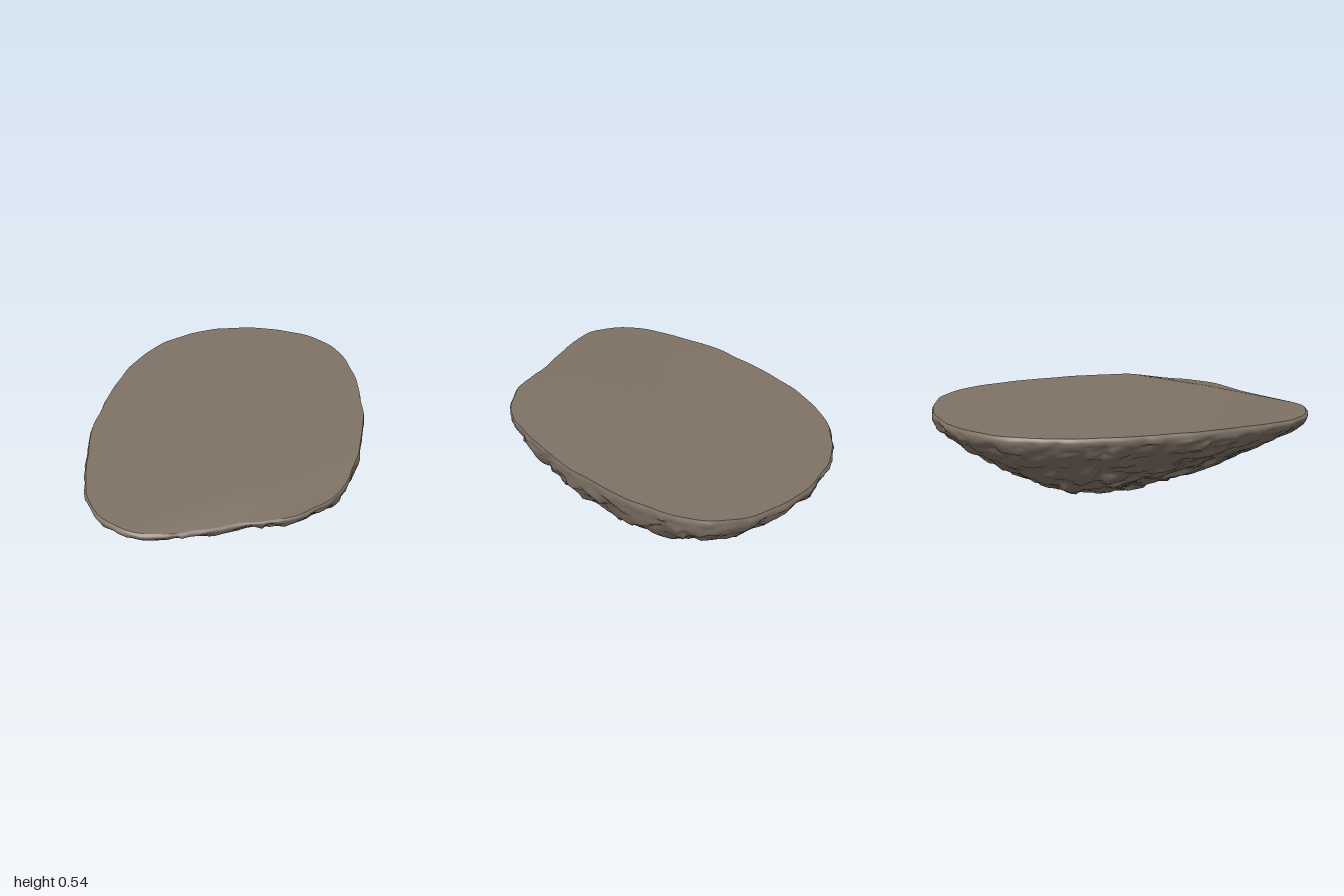
import * as THREE from 'three';

const SEG = 150, RINGS = 50;
const BASE = new THREE.Vector2(0.11, -0.11); // lowest point of the rock in x, z

// Plan outline of the rim as x, z pairs
const OUTLINE = [
  [0.05, -1], [0.3, -0.97], [0.48, -0.89], [0.6, -0.78], [0.68, -0.6], [0.72, -0.42],
  [0.735, -0.2], [0.735, 0], [0.71, 0.2], [0.66, 0.42], [0.6, 0.58], [0.51, 0.71],
  [0.36, 0.82], [0.2, 0.87], [0.05, 0.9], [-0.1, 0.95], [-0.25, 0.99], [-0.4, 0.99],
  [-0.52, 0.94], [-0.62, 0.83], [-0.68, 0.7], [-0.71, 0.5], [-0.74, 0.25], [-0.725, 0],
  [-0.69, -0.25], [-0.64, -0.45], [-0.52, -0.7], [-0.35, -0.87], [-0.2, -0.95], [-0.08, -0.985],
];
// Belly profiles from base to rim: share of the rim radius, height
const SHALLOW = [[0, 0.008], [0.18, 0.02], [0.37, 0.085], [0.55, 0.18], [0.73, 0.285], [0.91, 0.41], [0.985, 0.48], [0.998, 0.515], [0.988, 0.535]];
const STEEP = [[0, 0.008], [0.18, 0.018], [0.37, 0.06], [0.54, 0.12], [0.77, 0.24], [0.9, 0.34], [0.98, 0.45], [0.998, 0.51], [0.99, 0.535]];

function seeded(seed) {
  return () => {
    seed = (seed * 1664525 + 1013904223) >>> 0;
    return seed / 4294967296;
  };
}

const curve = (points, closed = false) =>
  new THREE.CatmullRomCurve3(points.map(([a, b]) => new THREE.Vector3(a, b, 0)), closed);

// The top sinks a little towards the front corner and rolls over along the front edge
const topDip = (x, z) =>
  0.03 * Math.max(0, z - 0.5 * x - 0.6) + 0.03 * THREE.MathUtils.smoothstep(0.5 * x + 0.86 * z, 0.62, 0.84);

// Skins a list of closed rings, each an array of Vector3
function skin(rings) {
  const n = rings[0].length, index = [];
  for (let r = 0; r < rings.length - 1; r++) {
    for (let i = 0; i < n; i++) {
      const a = r * n + i, b = r * n + (i + 1) % n;
      index.push(a, a + n, b, b, a + n, b + n);
    }
  }
  const geometry = new THREE.BufferGeometry().setFromPoints(rings.flat());
  geometry.setIndex(index);
  geometry.computeVertexNormals();
  return geometry;
}

// Breaks the smooth belly into chips: every seed tilts the surface around it its own way
function chip(rings) {
  const random = seeded(7);
  const seeds = [];
  for (let k = 0; k < 560; k++) {
    const ring = rings[Math.floor(Math.sqrt(random()) * rings.length)];
    const tilt = new THREE.Vector3(random() - 0.5, random() - 0.5, random() - 0.5).multiplyScalar(0.7);
    seeds.push({ at: ring[Math.floor(random() * SEG)].clone(), tilt, lift: (random() - 0.5) * 0.01 });
  }
  const core = new THREE.Vector3(0.08, 0.62, -0.05);
  const offset = new THREE.Vector3();
  rings.forEach((ring, r) => {
    const fade = Math.min(1, r / 4, (rings.length - r) / 10);
    for (const p of ring) {
      const distances = seeds.map((s) => s.at.distanceToSquared(p));
      const nearest = Math.min(...distances);
      let push = 0, total = 0;
      seeds.forEach((s, k) => {
        const weight = Math.exp((nearest - distances[k]) / 0.0004);
        if (weight < 0.01) return;
        push += weight * (s.lift + offset.subVectors(p, s.at).dot(s.tilt));
        total += weight;
      });
      push = THREE.MathUtils.clamp(push / total, -0.014, 0.014) * fade;
      p.addScaledVector(offset.subVectors(p, core).normalize(), push);
      p.y = Math.max(0, p.y);
    }
  });
}

export function createModel() {
  const group = new THREE.Group();
  group.name = 'rock';
  const stone = new THREE.MeshStandardMaterial({ color: 0x7f7266 });

  // Rim, slightly ragged
  const rim = curve(OUTLINE, true).getSpacedPoints(SEG).slice(0, SEG);
  rim.forEach((p, i) => {
    const a = (i / SEG) * Math.PI * 2;
    p.multiplyScalar(1 + 0.003 * Math.sin(17 * a) + 0.002 * Math.sin(29 * a + 1));
  });

  // Belly: rings from the base to the rim, steeper on the left side
  const shallow = curve(SHALLOW), steep = curve(STEEP);
  const rings = [];
  for (let r = 0; r <= RINGS; r++) {
    const a = shallow.getPoint(r / RINGS), b = steep.getPoint(r / RINGS);
    rings.push(rim.map((p) => {
      const dx = p.x - BASE.x, dz = p.y - BASE.y;
      const facing = Math.max(0, (dx * 0.99 - dz * 0.12) / Math.hypot(dx, dz));
      const q = a.clone().lerp(b, Math.min(1, facing));
      const dip = topDip(p.x * q.x, p.y * q.x) * (r / RINGS) ** 3;
      return new THREE.Vector3(BASE.x + dx * q.x, q.y - dip, BASE.y + dz * q.x);
    }));
  }
  chip(rings.slice(0, RINGS));
  const belly = new THREE.Mesh(skin(rings), stone);
  belly.name = 'chippedBelly';

  // Flat top: rings shrinking from the rim to the middle
  const edge = rings[RINGS];
  const lid = [1, 0.95, 0.9, 0.85, 0.8, 0.75, 0.5, 0].map((s) => edge.map((p) => {
    const x = p.x * s, z = p.z * s;
    return new THREE.Vector3(x, s === 1 ? p.y : 0.535 - topDip(x, z), z);
  }));
  const top = new THREE.Mesh(skin(lid), stone);
  top.name = 'flatTop';

  group.add(belly, top);
  return group;
}
